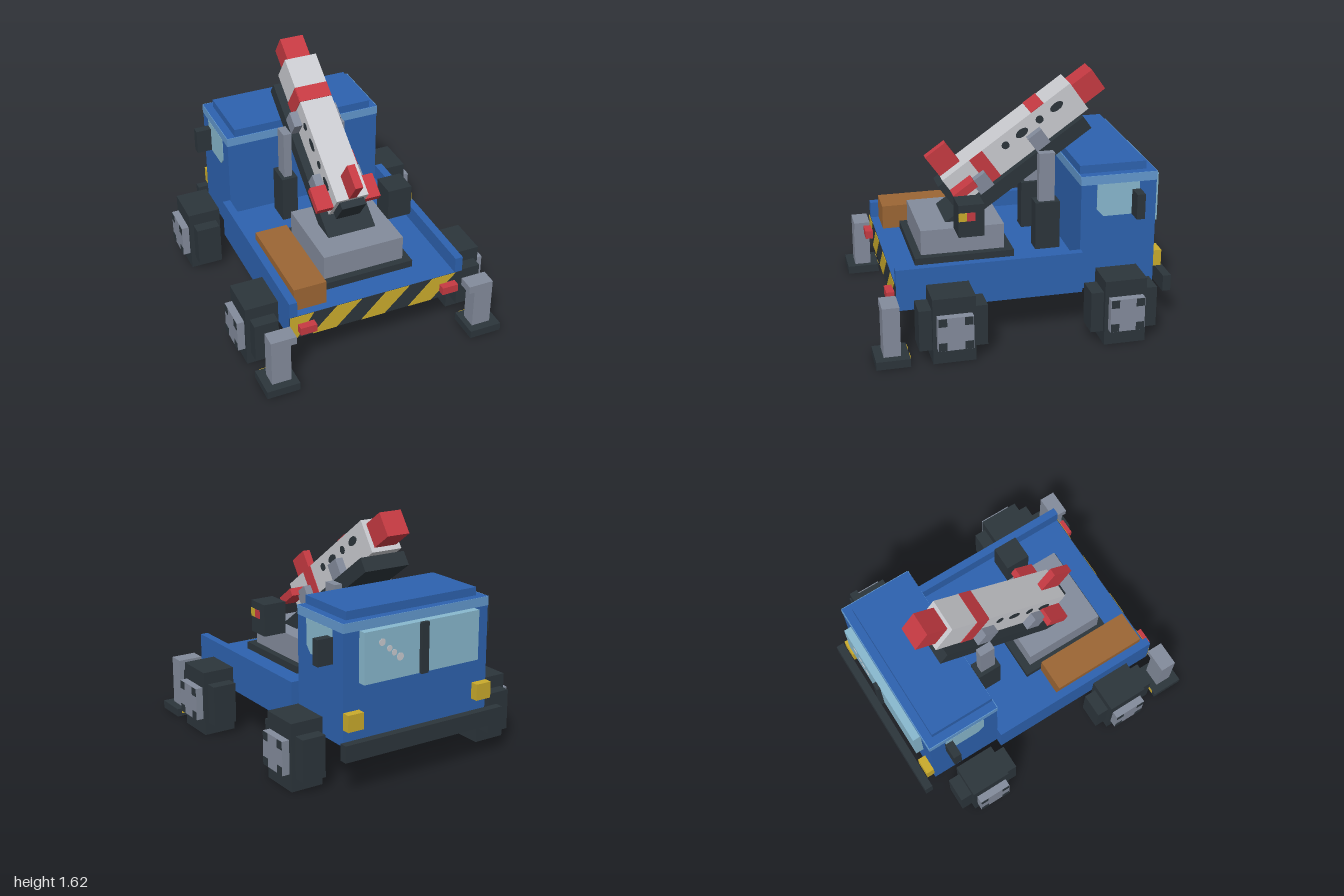
import * as THREE from 'three';

const mat = (name, color) => Object.assign(new THREE.MeshStandardMaterial({ color }), { name });

export function createModel() {
  const M = {
    blue: mat('body blue', 0x2d62af), sky: mat('stripe light blue', 0x6298ce),
    glass: mat('glass', 0x88b8ce), dark: mat('charcoal', 0x2c353b),
    grey: mat('steel grey', 0x838b9b), white: mat('pale grey', 0xcacbd0),
    red: mat('red', 0xc63a42), yellow: mat('yellow', 0xcaab2c), brown: mat('crate brown', 0x9c6634),
  };
  const root = new THREE.Group();
  root.name = 'launcherTruck';

  // Box given by its lower and upper bounds on each axis
  const box = (name, m, x0, x1, y0, y1, z0, z1, parent = root) => {
    const mesh = new THREE.Mesh(new THREE.BoxGeometry(x1 - x0, y1 - y0, z1 - z0), M[m]);
    mesh.position.set((x0 + x1) / 2, (y0 + y1) / 2, (z0 + z1) / 2);
    mesh.name = name;
    parent.add(mesh);
    return mesh;
  };
  // The same box on both sides, x given for the left one
  const pair = (name, m, x0, x1, ...rest) => {
    box(name + 'Left', m, x0, x1, ...rest);
    return box(name + 'Right', m, -x1, -x0, ...rest);
  };
  const group = (name, parent = root) => {
    const g = new THREE.Group();
    g.name = name;
    parent.add(g);
    return g;
  };

  // Flat bed with side rails
  box('bed', 'blue', -0.61, 0.61, 0.28, 0.45, -0.39, 0.83);
  pair('bedRail', 'blue', 0.557, 0.61, 0.45, 0.56, -0.39, 0.83);
  box('crate', 'brown', -0.557, -0.335, 0.45, 0.615, 0.11, 0.775);

  // Cab, roof and light band
  box('cab', 'blue', -0.555, 0.555, 0.28, 1.06, -0.89, -0.385);
  box('roof', 'blue', -0.5, 0.5, 1.06, 1.115, -0.835, -0.39);
  pair('cabBandSide', 'sky', 0.555, 0.559, 1.0, 1.06, -0.89, -0.385);
  box('cabBandFront', 'sky', -0.555, 0.555, 1.0, 1.06, -0.894, -0.89);
  box('cabBandBack', 'sky', -0.555, 0.555, 1.0, 1.06, -0.385, -0.381);

  // Windows, mirrors, lamps and bumper
  box('windshield', 'glass', -0.44, 0.44, 0.67, 1.0, -0.945, -0.89);
  box('windshieldDivider', 'dark', -0.027, 0.027, 0.67, 1.0, -0.97, -0.945);
  pair('mirror', 'dark', 0.555, 0.665, 0.78, 0.95, -0.78, -0.725);
  pair('headlight', 'yellow', 0.44, 0.555, 0.39, 0.5, -0.945, -0.89);
  pair('tailLight', 'red', 0.445, 0.557, 0.335, 0.39, 0.83, 0.885);
  box('bumper', 'dark', -0.61, 0.61, 0.225, 0.335, -1.0, -0.945);
  const sideGlass = new THREE.Shape([[0.535, 0.78], [0.775, 0.78], [0.775, 1], [0.49, 1], [0.49, 0.83]]
    .map(([z, y]) => new THREE.Vector2(z, y)));
  for (const s of [1, -1]) {
    const g = new THREE.Mesh(new THREE.ExtrudeGeometry(sideGlass, { depth: 0.006, bevelEnabled: false }), M.glass);
    g.rotation.y = Math.PI / 2;
    g.position.x = s > 0 ? 0.554 : -0.56;
    g.name = 'sideWindow';
    root.add(g);
  }
  // Glint on the windshield
  [[0.31, 0.92, 0.024], [0.255, 0.872, 0.02], [0.22, 0.84, 0.02], [0.175, 0.805, 0.026]].forEach(([x, y, r]) => {
    const glint = new THREE.Mesh(new THREE.CylinderGeometry(r, r, 0.004, 10), M.white);
    glint.rotation.x = Math.PI / 2;
    glint.position.set(x, y, -0.946);
    glint.name = 'glint';
    root.add(glint);
  });

  // Hazard panel across the tail
  box('hazardPanel', 'dark', -0.61, 0.61, 0.28, 0.45, 0.83, 0.833);
  const stripes = [[-0.61, -0.56, -0.445, -0.61],
    ...[-0.455, -0.115, 0.22].map((x) => [x, x + 0.165, x + 0.34, x + 0.17])];
  for (const [a, b, c, d] of stripes) {
    const shape = new THREE.Shape([[a, 0.28], [b, 0.28], [c, 0.45], [d, 0.45]]
      .map(([x, y]) => new THREE.Vector2(x, y)));
    const stripe = new THREE.Mesh(new THREE.ExtrudeGeometry(shape, { depth: 0.003, bevelEnabled: false }), M.yellow);
    stripe.position.z = 0.833;
    stripe.name = 'hazardStripe';
    root.add(stripe);
  }

  // Blocky wheels with square hubs and corner bolts
  for (const s of [1, -1]) {
    for (const z of [0.503, -0.612]) {
      const w = group('wheel');
      w.position.set(s * 0.725, 0.2225, z);
      if (s < 0) w.rotation.y = Math.PI;
      box('tyreTall', 'dark', -0.112, 0.112, -0.2225, 0.2225, -0.138, 0.138, w);
      box('tyreWide', 'dark', -0.082, 0.082, -0.138, 0.138, -0.22, 0.22, w);
      box('hub', 'grey', 0.112, 0.162, -0.112, 0.112, -0.114, 0.114, w);
      for (const a of [1, -1]) for (const b of [1, -1]) {
        const bolt = box('bolt', 'dark', 0.16, 0.165, -0.027, 0.027, -0.027, 0.027, w);
        bolt.position.y = a * 0.083;
        bolt.position.z = b * 0.083;
      }
    }
  }

  // Stabilizer legs
  pair('stabilizerFoot', 'dark', 0.612, 0.836, 0, 0.055, 0.782, 1.0);
  pair('stabilizerLeg', 'grey', 0.65, 0.782, 0.055, 0.39, 0.835, 0.945);
  pair('stabilizerArm', 'grey', 0.61, 0.65, 0.335, 0.39, 0.835, 0.945);
  for (const x of [0.64, 0.75]) pair('footMark', 'yellow', x, x + 0.055, 0.02, 0.055, 0.778, 0.782);

  // Turntable, control box and lifting posts
  box('turntablePlate', 'dark', -0.33, 0.33, 0.45, 0.5, 0, 0.66);
  box('turntable', 'grey', -0.28, 0.28, 0.5, 0.67, 0.055, 0.612);
  box('controlBox', 'dark', 0.277, 0.443, 0.67, 0.89, 0.223, 0.392);
  box('controlLampYellow', 'yellow', 0.443, 0.447, 0.78, 0.837, 0.337, 0.391);
  box('controlLampRed', 'red', 0.443, 0.447, 0.78, 0.837, 0.282, 0.337);
  pair('liftCylinder', 'dark', 0.14, 0.25, 0.45, 0.78, -0.333, -0.166);
  pair('liftRod', 'grey', 0.168, 0.224, 0.78, 1.115, -0.302, -0.195);

  // Tilted launcher: origin at the middle of the rocket's tail, -z runs to the nose
  const L = group('launcher');
  L.position.set(0, 0.85, 0.367);
  L.rotation.x = THREE.MathUtils.degToRad(35.2);
  // Part spanning s0 to s1 along the rocket
  const along = (name, m, x0, x1, y0, y1, s0, s1) => box(name, m, x0, x1, y0, y1, -s1, -s0, L);
  const R = 0.112;
  along('launchRail', 'dark', -0.168, 0.168, -0.21, -R, -0.16, 0.99);
  along('rocketBody', 'white', -R, R, -R, R, 0, 1.05);
  along('rocketNose', 'red', -0.082, 0.082, -0.082, 0.082, 1.05, 1.22);
  along('rocketNozzle', 'dark', -0.085, 0.085, -0.085, 0.085, -0.05, 0);
  along('topFin', 'red', -0.027, 0.027, R, 0.28, 0, 0.165);
  along('bandTop', 'red', -R, R, R, R + 0.004, 0.73, 0.835);
  along('bandLeft', 'red', R, R + 0.004, -R, R, 0.22, 0.325);
  along('bandRight', 'red', -R - 0.004, -R, -R, R, 0.73, 0.835);
  for (const s of [1, -1]) {
    const sides = (a, b) => (s > 0 ? [a, b] : [-b, -a]);
    along('sideFin', 'red', ...sides(R, 0.224), -0.027, 0.027, 0, 0.165);
    for (const c of [0.2, 0.665]) along('clamp', 'grey', ...sides(R, 0.168), -R, 0, c - 0.055, c + 0.055);
    // Round and oval ports along the flank
    for (const [p, stretch] of [[0.47, 1], [0.605, 1.75], [0.75, 1], [0.89, 1.85]]) {
      const port = new THREE.Mesh(new THREE.CylinderGeometry(0.027, 0.027, 0.006, 12), M.dark);
      port.rotation.z = Math.PI / 2;
      port.scale.z = stretch;
      port.position.set(s * R, 0.04, -(s > 0 ? p : 1.05 - p));
      port.name = 'port';
      L.add(port);
    }
  }
  return root;
}
